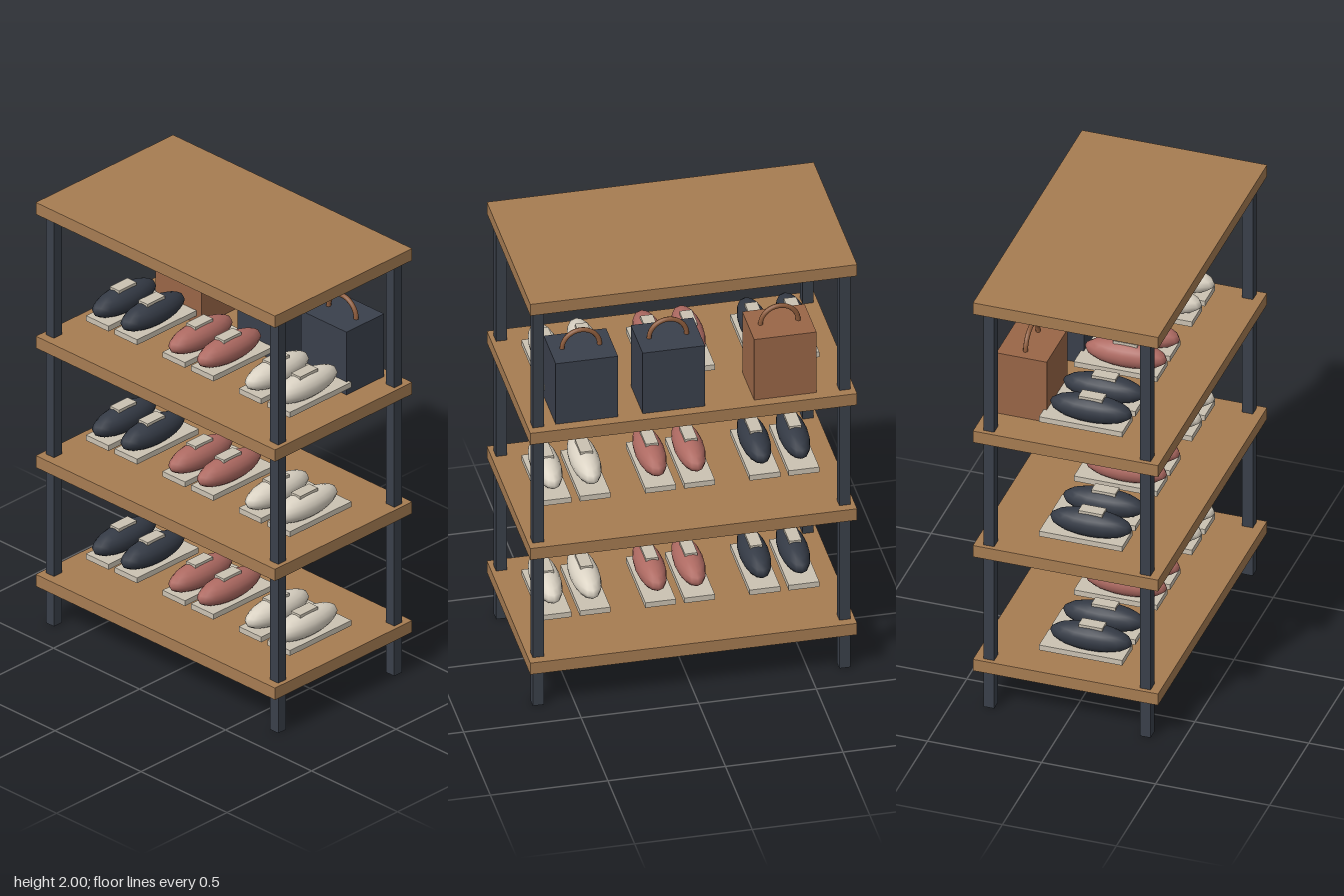
import * as THREE from 'three';

const mat = (name, color) => {
  const m = new THREE.MeshStandardMaterial({ color });
  m.name = name;
  return m;
};

export function createModel() {
  const wood = mat('wood', 0xa67c52);
  const metal = mat('dark metal', 0x3a404a);
  const charcoal = mat('charcoal leather', 0x3a404c);
  const tan = mat('tan leather', 0x996647);
  const handleBrown = mat('handle brown', 0x8e5c3c);
  const navy = mat('navy shoe', 0x343a45);
  const rose = mat('rose shoe', 0xae6a62);
  const cream = mat('cream shoe', 0xdbd3c4);
  const rubber = mat('pale sole', 0xcbc2b2);

  const root = new THREE.Group();
  root.name = 'shoeRack';

  const add = (parent, name, geometry, material, x, y, z) => {
    const mesh = new THREE.Mesh(geometry, material);
    mesh.name = name;
    mesh.position.set(x, y, z);
    parent.add(mesh);
    return mesh;
  };

  // Shelves, given by the height of their top faces
  const thick = 0.056;
  const shelfTops = [0.237, 0.8, 1.366, 2];
  const shelfGeo = new THREE.BoxGeometry(1.39, thick, 0.812);
  for (const top of shelfTops) add(root, 'shelf', shelfGeo, wood, 0, top - thick / 2, 0);

  // Corner posts
  const postHeight = 2 - thick;
  const postGeo = new THREE.BoxGeometry(0.047, postHeight, 0.047);
  for (const x of [-0.652, 0.652])
    for (const z of [-0.343, 0.343]) add(root, 'post', postGeo, metal, x, postHeight / 2, z);

  // Shoes: flat sole, ellipsoid upper and a small tongue on top
  const soleGeo = new THREE.BoxGeometry(0.13, 0.025, 0.365);
  const upperGeo = new THREE.SphereGeometry(1, 16, 10).scale(0.062, 0.06, 0.18);
  const tongueGeo = new THREE.BoxGeometry(0.053, 0.02, 0.105);
  const makeShoe = (material) => {
    const shoe = new THREE.Group();
    shoe.name = 'shoe';
    add(shoe, 'sole', soleGeo, rubber, 0, 0.049, 0.031);
    add(shoe, 'upper', upperGeo, material, 0, 0.109, 0.055);
    add(shoe, 'tongue', tongueGeo, rubber, 0, 0.164, 0.06);
    return shoe;
  };

  // Three pairs on each of the lower three shelves
  const pairs = [[-0.444, navy], [0, rose], [0.444, cream]];
  for (const top of shelfTops.slice(0, 3))
    for (const [x, material] of pairs)
      for (const side of [-1, 1]) {
        const shoe = makeShoe(material);
        shoe.position.set(x + side * 0.083, top, 0);
        root.add(shoe);
      }

  // Handbags at the back of the third shelf
  const bagGeo = new THREE.BoxGeometry(0.265, 0.297, 0.222);
  const handleGeo = new THREE.TorusGeometry(0.08, 0.0105, 8, 20, Math.PI);
  for (const [x, material] of [[-0.4, tan], [0.074, charcoal], [0.444, charcoal]]) {
    const bag = new THREE.Group();
    bag.name = 'handbag';
    bag.position.set(x, shelfTops[2], -0.249);
    add(bag, 'bagBody', bagGeo, material, 0, 0.1485, 0);
    add(bag, 'bagHandle', handleGeo, handleBrown, 0, 0.297, 0);
    root.add(bag);
  }

  return root;
}
